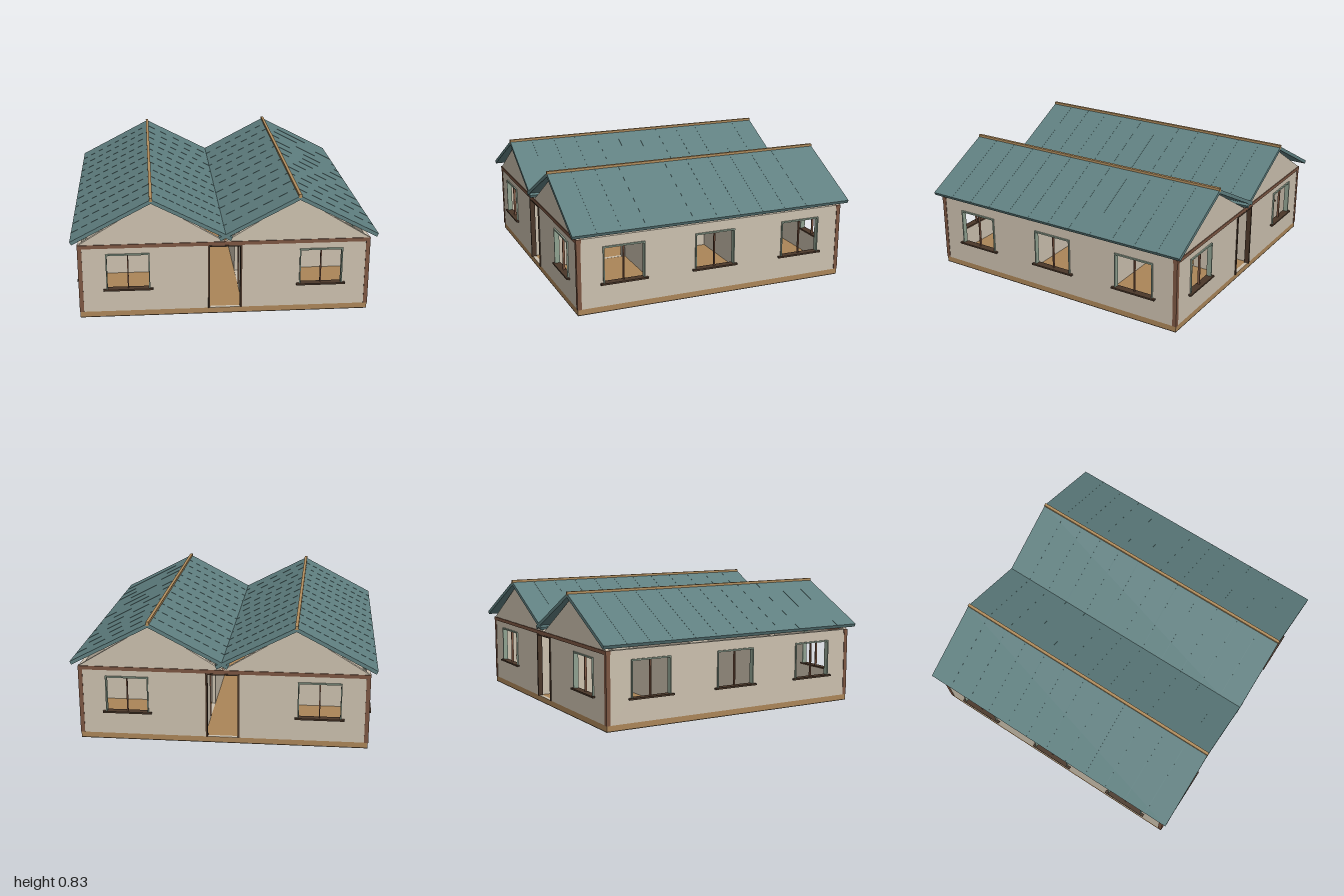
import * as THREE from 'three';

const mat = (color) => new THREE.MeshStandardMaterial({ color });
const M = {
  wall: mat(0xcbc0ae), roof: mat(0x5f7f80), tan: mat(0xb08c5c), floor: mat(0xab8558),
  base: mat(0x54432f), wood: mat(0x7c5642), dark: mat(0x4a3729), frame: mat(0x8fa190),
};
const FLOOR = 0.04, TOP = 0.51, OUT = 0.955, T = 0.025;

function box(parent, name, m, w, h, d, x, y, z) {
  const mesh = new THREE.Mesh(new THREE.BoxGeometry(w, h, d), m);
  mesh.name = name;
  mesh.position.set(x, y, z);
  parent.add(mesh);
  return mesh;
}

// Upright panel with rectangular openings [x0, x1, y0, y1]; outer face on z = 0
function panel(parent, name, half, openings) {
  const rect = (P, x0, x1, y0, y1) => new P([[x0, y0], [x1, y0], [x1, y1], [x0, y1]]
    .map(([x, y]) => new THREE.Vector2(x, y)));
  const shape = rect(THREE.Shape, -half, half, FLOOR, TOP);
  openings.forEach((o) => shape.holes.push(rect(THREE.Path, ...o)));
  const geo = new THREE.ExtrudeGeometry(shape, { depth: T, bevelEnabled: false });
  geo.translate(0, 0, -T);
  const mesh = new THREE.Mesh(geo, M.wall);
  mesh.name = name;
  parent.add(mesh);
}

// Window frame, mullion and sill around an opening centred on x
const windowHole = (x) => [x - 0.143, x + 0.143, 0.195, 0.445];
function addWindow(parent, x) {
  const g = new THREE.Group();
  g.name = 'window';
  g.position.x = x;
  for (const s of [-1, 1]) box(g, 'windowJamb', M.frame, 0.008, 0.25, 0.035, s * 0.139, 0.32, -0.008);
  box(g, 'windowHead', M.frame, 0.286, 0.01, 0.035, 0, 0.44, -0.008);
  box(g, 'mullion', M.wood, 0.008, 0.24, 0.015, 0, 0.318, -0.012);
  box(g, 'sill', M.dark, 0.325, 0.011, 0.05, 0, 0.195, -0.005);
  parent.add(g);
}

// End wall with two windows, a doorway, a top beam and two gables
function endWall() {
  const g = new THREE.Group();
  g.name = 'endWall';
  panel(g, 'endWallPanel', OUT, [windowHole(-0.635), windowHole(0.635), [-0.11, 0.11, FLOOR + 0.001, 0.485]]);
  for (const s of [-1, 1]) {
    addWindow(g, s * 0.635);
    box(g, 'doorJamb', M.dark, 0.012, 0.445, 0.035, s * 0.106, 0.262, -0.01);
    const tri = new THREE.Shape([[s * 0.478 - 0.475, TOP], [s * 0.478 + 0.475, TOP], [s * 0.478, 0.8]]
      .map(([x, y]) => new THREE.Vector2(x, y)));
    const geo = new THREE.ExtrudeGeometry(tri, { depth: T, bevelEnabled: false });
    geo.translate(0, 0, -T);
    const gable = new THREE.Mesh(geo, M.wall);
    gable.name = 'gable';
    g.add(gable);
  }
  box(g, 'doorHead', M.dark, 0.212, 0.01, 0.035, 0, 0.481, -0.01);
  box(g, 'topBeam', M.wood, 1.915, 0.025, 0.035, 0, 0.498, -0.012);
  return g;
}

// Long wall with three windows
function sideWall() {
  const g = new THREE.Group();
  g.name = 'sideWall';
  const xs = [-0.64, 0, 0.64];
  panel(g, 'sideWallPanel', OUT - T, xs.map(windowHole));
  xs.forEach((x) => addWindow(g, x));
  return g;
}

// One pitched roof: two slabs with low seams, and a ridge cap
function roof() {
  const g = new THREE.Group();
  g.name = 'roof';
  const run = 0.517, rise = 0.27, len = Math.hypot(run, rise);
  for (const s of [-1, 1]) {
    const slope = new THREE.Group();
    slope.name = 'roofSlope';
    slope.position.set(s * run / 2, 0.81 - rise / 2, 0);
    slope.rotation.z = -s * Math.atan2(rise, run);
    box(slope, 'roofSheet', M.roof, len, 0.024, 1.99, 0, 0, 0);
    for (let i = -5; i <= 5; i++) box(slope, 'roofSeam', M.roof, len, 0.026, 0.006, 0, 0, i * 0.166);
    g.add(slope);
  }
  box(g, 'ridgeCap', M.tan, 0.02, 0.025, 1.992, 0, 0.822, 0);
  return g;
}

export function createModel() {
  const house = new THREE.Group();
  house.name = 'house';

  // Floor slab
  box(house, 'slabUnderside', M.base, 1.91, 0.006, 1.91, 0, 0.003, 0);
  box(house, 'floorSlab', M.floor, 1.91, 0.034, 1.91, 0, 0.023, 0);

  // Outer walls, turned to each side
  for (const s of [-1, 1]) {
    const end = endWall();
    end.position.z = s * OUT;
    end.rotation.y = s > 0 ? 0 : Math.PI;
    const side = sideWall();
    side.position.x = s * OUT;
    side.rotation.y = s * Math.PI / 2;
    house.add(end, side);

    // Corner posts
    for (const t of [-1, 1]) box(house, 'cornerPost', M.wood, 0.028, 0.47, 0.028, s * 0.944, 0.275, t * 0.944);

    // Corridor walls with doorways, and cross walls between rooms
    const inner = new THREE.Group();
    inner.name = 'corridorWall';
    panel(inner, 'corridorPanel', OUT - T, [-1, 1].map((t) => [t * 0.5 - 0.145, t * 0.5 + 0.145, FLOOR + 0.001, 0.475]));
    for (const t of [-1, 1]) {
      box(inner, 'doorPost', M.wood, 0.018, 0.435, T, t * 0.59, 0.258, -T / 2);
      box(house, 'crossWall', M.wall, 0.785, 0.47, T, s * 0.538, 0.275, t * 0.32);
    }
    inner.position.x = s * 0.145;
    inner.rotation.y = s * Math.PI / 2;
    house.add(inner);

    const r = roof();
    r.position.x = s * 0.478;
    house.add(r);
  }
  return house;
}
